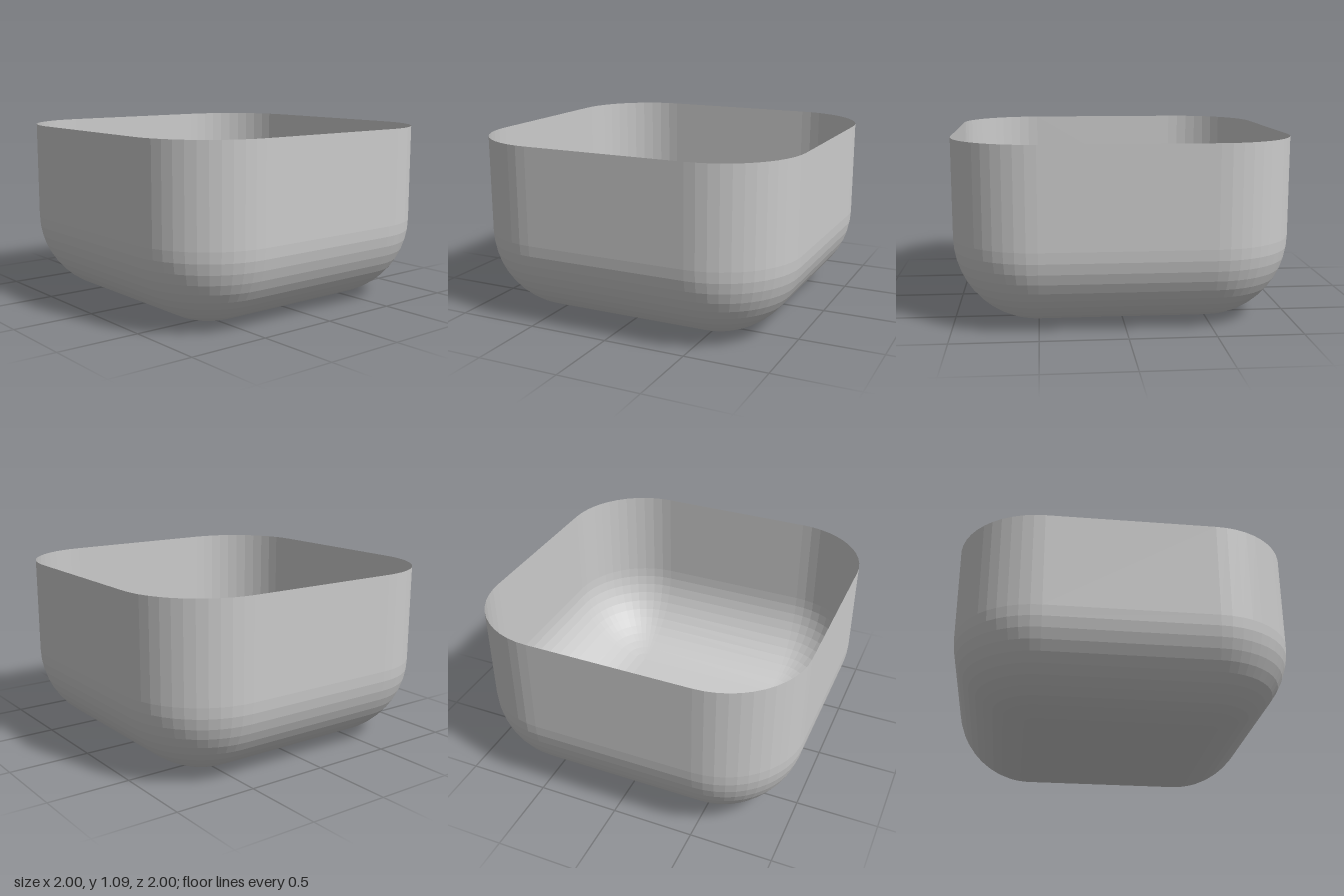
import * as THREE from 'three';

const RADIUS = 0.5;   // corner and bottom edge rounding
const HALF = 0.5;     // half width of the flat parts
const HEIGHT = 1.09;
const SEG = 12;       // facets per quarter round

const material = () => new THREE.MeshStandardMaterial({
  color: 0xcccccc, flatShading: true, side: THREE.DoubleSide,
});

// Rounded-square shell: a grid wrapped around four corners, curving up from the floor to the rim
function shellGeometry() {
  const columns = 4 * (SEG + 1);
  const rows = SEG + 1;
  const geometry = new THREE.PlaneGeometry(1, 1, columns, rows);
  const position = geometry.attributes.position;
  for (let j = 0; j <= rows; j++) {
    const rise = Math.min(j / SEG, 1) * Math.PI / 2;
    const r = RADIUS * Math.sin(rise);
    const y = j > SEG ? HEIGHT : RADIUS * (1 - Math.cos(rise));
    for (let i = 0; i <= columns; i++) {
      const corner = Math.floor(i / (SEG + 1)) % 4;
      const turn = (corner + (i % (SEG + 1)) / SEG) * Math.PI / 2;
      const middle = (corner + 0.5) * Math.PI / 2;
      position.setXYZ(j * (columns + 1) + i,
        HALF * Math.sign(Math.cos(middle)) + r * Math.cos(turn),
        y,
        HALF * Math.sign(Math.sin(middle)) + r * Math.sin(turn));
    }
  }
  geometry.computeVertexNormals();
  return geometry;
}

export function createModel() {
  const group = new THREE.Group();
  group.name = 'openContainer';

  const shell = new THREE.Mesh(shellGeometry(), material());
  shell.name = 'shell';
  group.add(shell);

  // Flat square of the floor
  const floor = new THREE.Mesh(
    new THREE.PlaneGeometry(2 * HALF, 2 * HALF).rotateX(Math.PI / 2), material());
  floor.name = 'floor';
  group.add(floor);

  // Tiny loose block lying inside
  const block = new THREE.Mesh(new THREE.BoxGeometry(0.045, 0.03, 0.035), material());
  block.name = 'looseBlock';
  block.position.set(0.02, 0.03, 0.06);
  block.rotation.set(0.2, -0.75, 0.15, 'YXZ');
  group.add(block);

  return group;
}
